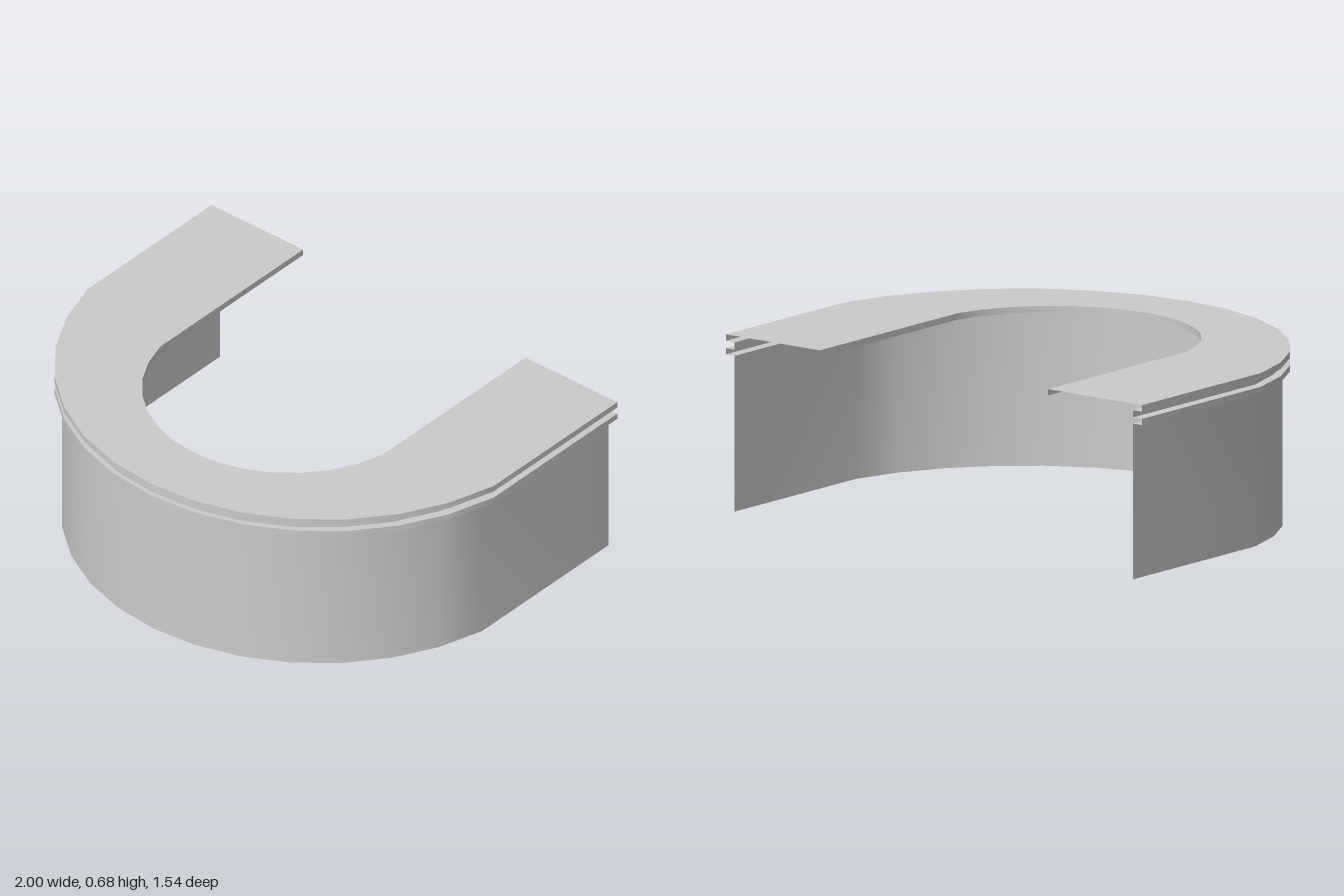
import * as THREE from 'three';

const BACK = -0.77;   // z of the open ends of the U
const STEPS = 7;      // arc segments on each side of the middle
const STEP = Math.PI / 16;

// U-shaped plan line: straight arm, arc round the front, straight arm
function planLine(halfWidth, front) {
  const r = halfWidth / Math.sin(STEPS * STEP);
  const pts = [[halfWidth, BACK]];
  for (let k = STEPS; k >= -STEPS; k--) {
    pts.push([r * Math.sin(k * STEP), front - r + r * Math.cos(k * STEP)]);
  }
  pts.push([-halfWidth, BACK]);
  return pts;
}

// Sheet between two plan lines, each given as [halfWidth, front z, y]
function band(from, to) {
  const a = planLine(from[0], from[1]);
  const b = planLine(to[0], to[1]);
  const pos = [], index = [];
  a.forEach((p, i) => {
    pos.push(p[0], from[2], p[1], b[i][0], to[2], b[i][1]);
    if (i < a.length - 1) {
      const n = 2 * i;
      index.push(n, n + 2, n + 1, n + 2, n + 3, n + 1);
    }
  });
  const geo = new THREE.BufferGeometry();
  geo.setAttribute('position', new THREE.Float32BufferAttribute(pos, 3));
  geo.setIndex(index);
  geo.computeVertexNormals();
  return geo;
}

export function createModel() {
  const group = new THREE.Group();
  const material = new THREE.MeshStandardMaterial({ color: 0xcccccc, side: THREE.DoubleSide });

  // Folded section, from the inner lip over the top and down the outside
  const inner = [0.548, 0.512], rim = [1, 0.772], recess = [0.957, 0.753];
  const section = [
    [...inner, 0.652],
    [...inner, 0.677],
    [...rim, 0.677],
    [...rim, 0.652],
    [...recess, 0.652],
    [...recess, 0.624],
    [...rim, 0.624],
    [...rim, 0.6],
    [...recess, 0.6],
    [...recess, 0],
  ];
  const names = ['innerLip', 'counterTop', 'upperRimEdge', 'upperRimUnderside', 'groove',
    'lowerRimTop', 'lowerRimEdge', 'lowerRimUnderside', 'frontPanel'];

  names.forEach((name, i) => {
    const mesh = new THREE.Mesh(band(section[i], section[i + 1]), material);
    mesh.name = name;
    group.add(mesh);
  });
  return group;
}
